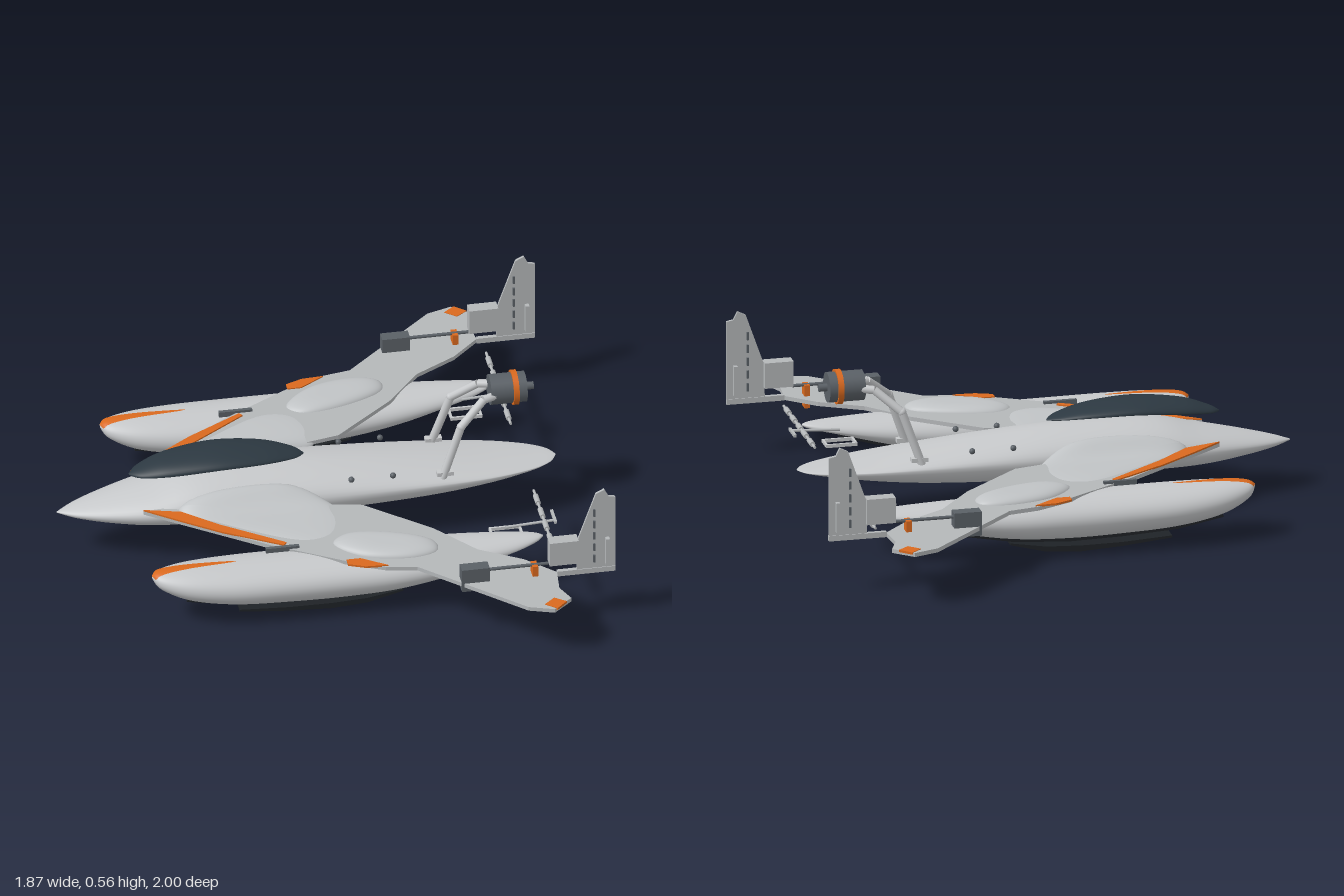
import * as THREE from 'three';

const mat = (name, color) => {
  const m = new THREE.MeshStandardMaterial({ color });
  m.name = name;
  return m;
};

// Grid of (rows + 1) x (cols + 1) points turned into a smooth surface
function gridSurface(pos, rows, cols, flip) {
  const idx = [], n = cols + 1;
  for (let i = 0; i < rows; i++) for (let j = 0; j < cols; j++) {
    const a = i * n + j, b = a + n;
    if (flip) idx.push(a, a + 1, b, b, a + 1, b + 1);
    else idx.push(a, b, a + 1, b, b + 1, a + 1);
  }
  const g = new THREE.BufferGeometry();
  g.setAttribute('position', new THREE.Float32BufferAttribute(pos, 3));
  g.setIndex(idx);
  g.computeVertexNormals();
  return g;
}

// Loft along x. Stations are [x, halfWidth, top, seam, bottom], smoothly interpolated.
// With `leaf` (half-width by u) only a strip along the top is made, lifted slightly.
function loft(stations, { z0 = 0, p = 1, rows = 48, cols = 40, t1 = 1, leaf = null } = {}) {
  const curves = [1, 2, 3, 4].map(k => new THREE.SplineCurve(stations.map(s => new THREE.Vector2(s[0], s[k]))));
  const pos = [], lift = leaf ? 0.003 : 0;
  for (let i = 0; i <= rows; i++) {
    const u = i / rows, t = u * t1;
    const [w, top, seam, bot] = curves.map(c => c.getPoint(t).y);
    const x = curves[0].getPoint(t).x;
    const half = leaf ? Math.asin(Math.min(0.95, leaf(u) / Math.max(w, 0.001))) : Math.PI;
    for (let j = 0; j <= cols; j++) {
      const a = Math.PI / 2 + half * (2 * j / cols - 1);
      const c = Math.cos(a), s = Math.sin(a);
      pos.push(x, seam + (s > 0 ? top - seam : seam - bot) * s + lift,
        z0 + w * Math.sign(c) * Math.pow(Math.abs(c), s > 0 ? p : 1));
    }
  }
  return gridSurface(pos, rows, cols, false);
}

// Domed blister on a smooth closed outline of [x, z]; height(f, z) gives y
function blister(outline, height) {
  const curve = new THREE.CatmullRomCurve3(outline.map(([x, z]) => new THREE.Vector3(x, 0, z)), true);
  const N = 48, R = 14, ring = curve.getPoints(N), pos = [];
  const c = ring.slice(0, N).reduce((a, v) => a.add(v), new THREE.Vector3()).divideScalar(N);
  for (let r = 0; r <= R; r++) for (let j = 0; j <= N; j++) {
    const k = Math.cos(r / R * Math.PI / 2), v = ring[j].clone().sub(c).multiplyScalar(k).add(c);
    pos.push(v.x, height(Math.sqrt(Math.max(0, 1 - k ** 4)), v.z), v.z);
  }
  return gridSurface(pos, R, N, true);
}

const shapeOf = pts => new THREE.Shape(pts.map(([x, y]) => new THREE.Vector2(x, y)));

// Flat plate from [x, z] corners, drooping gently outboard like the wing
function plate(pts, y, t) {
  const g = new THREE.ExtrudeGeometry(shapeOf(pts.map(([x, z]) => [x, -z])), { depth: t, bevelEnabled: false });
  g.rotateX(-Math.PI / 2);
  const q = g.attributes.position;
  for (let i = 0; i < q.count; i++) q.setY(i, q.getY(i) + y - 0.02 * (q.getZ(i) - 0.5));
  return g;
}

// Upright slab from [x, y] corners centred on z
const slab = (pts, z, t) =>
  new THREE.ExtrudeGeometry(shapeOf(pts), { depth: t, bevelEnabled: false }).translate(0, 0, z - t / 2);

const box = (x0, x1, y0, y1, z0, z1) =>
  new THREE.BoxGeometry(x1 - x0, y1 - y0, z1 - z0).translate((x0 + x1) / 2, (y0 + y1) / 2, (z0 + z1) / 2);

function rod(a, b, r, sides = 12) {
  const A = new THREE.Vector3(...a), B = new THREE.Vector3(...b), d = B.clone().sub(A);
  const g = new THREE.CylinderGeometry(r, r, d.length(), sides);
  g.applyQuaternion(new THREE.Quaternion().setFromUnitVectors(new THREE.Vector3(0, 1, 0), d.normalize()));
  return g.translate(...A.add(B).multiplyScalar(0.5).toArray());
}

// Mirror across z = 0, keeping faces outward
function mirrorZ(geo) {
  const g = geo.index ? geo.toNonIndexed() : geo.clone();
  g.scale(1, 1, -1);
  for (const at of Object.values(g.attributes)) {
    const s = at.itemSize, d = at.array;
    for (let i = 0; i < at.count; i += 3) for (let k = 0; k < s; k++) {
      const a = (i + 1) * s + k, b = (i + 2) * s + k;
      [d[a], d[b]] = [d[b], d[a]];
    }
  }
  return g;
}

export function createModel() {
  const model = new THREE.Group();
  const hull = mat('hull grey', 0xc6c8ca), wingGrey = mat('wing grey', 0xb4b7b9), fairingGrey = mat('fairing grey', 0xc0c3c5);
  const orange = mat('orange trim', 0xd9691e), glass = mat('canopy blue black', 0x2c3841);
  const black = mat('skid black', 0x1e2226), dark = mat('dark grey', 0x5a6066);
  const add = (name, geo, m) => {
    const mesh = new THREE.Mesh(geo, m);
    mesh.name = name;
    model.add(mesh);
  };
  const pair = (name, geo, m) => {
    add(name + 'Left', geo, m);
    add(name + 'Right', mirrorZ(geo), m);
  };

  // Central body and canopy
  add('fuselage', loft([
    [-0.94, 0.002, 0.172, 0.17, 0.168], [-0.87, 0.05, 0.193, 0.173, 0.152], [-0.75, 0.1, 0.222, 0.18, 0.133],
    [-0.6, 0.142, 0.255, 0.19, 0.117], [-0.42, 0.157, 0.294, 0.2, 0.111], [-0.1, 0.16, 0.295, 0.205, 0.11],
    [0.15, 0.16, 0.277, 0.208, 0.114], [0.4, 0.15, 0.25, 0.208, 0.128], [0.6, 0.128, 0.226, 0.205, 0.152],
    [0.75, 0.09, 0.211, 0.201, 0.178], [0.83, 0.048, 0.204, 0.199, 0.192], [0.86, 0.003, 0.2, 0.199, 0.198],
  ], { p: 1.15 }), hull);
  add('canopy', loft([
    [-0.68, 0.004, 0.302, 0.299, 0.296], [-0.64, 0.045, 0.323, 0.306, 0.3], [-0.54, 0.08, 0.354, 0.322, 0.31],
    [-0.37, 0.096, 0.371, 0.338, 0.327], [-0.2, 0.08, 0.358, 0.334, 0.325], [-0.09, 0.042, 0.332, 0.322, 0.316],
    [-0.05, 0.004, 0.316, 0.314, 0.312],
  ]), glass);

  // Wings with blended root and pod fairings
  pair('wing', plate([[-0.65, 0.13], [-0.25, 0.42], [0, 0.57], [0.13, 0.63], [0.24, 0.65], [0.58, 0.97], [0.67, 1],
    [0.74, 0.94], [0.71, 0.87], [0.72, 0.77], [0.62, 0.67], [0.47, 0.58], [0.34, 0.42], [0.12, 0.23], [-0.02, 0.2],
    [-0.1, 0.1]], 0.2, 0.015), wingGrey);
  pair('rootFairing', blister([[-0.53, 0.14], [-0.5, 0.2], [-0.3, 0.34], [-0.1, 0.43], [0, 0.4], [0.05, 0.28],
    [0, 0.17], [-0.12, 0.09], [-0.42, 0.09]],
  (f, z) => 0.208 + f * (0.016 + 0.068 * Math.exp(-(((z - 0.1) / 0.07) ** 2)))), fairingGrey);
  pair('podFairing', blister([[-0.03, 0.45], [0.06, 0.55], [0.24, 0.59], [0.33, 0.56], [0.33, 0.5], [0.18, 0.42], [0.02, 0.4]],
    f => 0.208 + 0.03 * f), fairingGrey);
  pair('leadingEdgeStripe', plate([[-0.65, 0.13], [-0.52, 0.165], [-0.4, 0.27], [-0.19, 0.42], [-0.2, 0.435],
    [-0.4, 0.317], [-0.53, 0.222]], 0.214, 0.006), orange);
  pair('podEdgeStripe', plate([[0, 0.565], [0.05, 0.565], [0.14, 0.625], [0.06, 0.62], [0, 0.595]], 0.212, 0.007), orange);
  pair('tipMarker', plate([[0.64, 0.965], [0.68, 0.93], [0.72, 0.96], [0.68, 0.998]], 0.209, 0.008), orange);
  pair('wingRail', box(-0.27, -0.15, 0.205, 0.225, 0.444, 0.458), dark);

  // Underwing pods with painted noses
  const pod = [[-0.69, 0.004, 0.188, 0.185, 0.18], [-0.66, 0.047, 0.203, 0.17, 0.14], [-0.56, 0.09, 0.212, 0.152, 0.093],
    [-0.4, 0.115, 0.213, 0.14, 0.064], [-0.2, 0.12, 0.212, 0.136, 0.053], [0, 0.12, 0.211, 0.135, 0.05],
    [0.2, 0.119, 0.21, 0.138, 0.063], [0.4, 0.1, 0.209, 0.152, 0.1], [0.6, 0.06, 0.205, 0.172, 0.155],
    [0.69, 0.028, 0.2, 0.186, 0.175], [0.72, 0.003, 0.194, 0.191, 0.188]];
  pair('pod', loft(pod, { z0: 0.5 }), hull);
  pair('podNoseMarking', loft(pod, { z0: 0.5, t1: 0.31, cols: 8, rows: 24,
    leaf: u => 0.029 * Math.sqrt(Math.max(0, 1 - u)) * (1 - u * u * 0.3) }), orange);

  // Skids under the pods
  pair('podKeel', slab([[-0.57, 0.085], [-0.4, 0.053], [-0.2, 0.042], [0, 0.038], [0.2, 0.053], [0.4, 0.09], [0.59, 0.145],
    [0.59, 0.165], [0.4, 0.12], [0.2, 0.085], [0, 0.07], [-0.4, 0.085], [-0.56, 0.11]], 0.5, 0.062), black);
  pair('skid', slab([[-0.38, 0.025], [-0.2, 0.008], [-0.05, 0], [0.08, 0.009], [0.21, 0.043], [0.21, 0.05],
    [0.08, 0.028], [-0.05, 0.022], [-0.2, 0.023], [-0.38, 0.033]], 0.5, 0.075), black);

  // Engine on bent struts
  const strut = [[0.43, 0.22, 0.115], [0.5, 0.42, 0.1], [0.59, 0.495, 0.055], [0.65, 0.5, 0.035]];
  for (let i = 0; i < 3; i++) pair('engineStrut' + i, rod(strut[i], strut[i + 1], 0.015), hull);
  pair('strutKnee', new THREE.SphereGeometry(0.016, 12, 8).translate(...strut[1]), hull);
  pair('strutFoot', box(0.41, 0.47, 0.235, 0.25, 0.1, 0.125), hull);
  add('engine', rod([0.62, 0.5, 0], [0.75, 0.5, 0], 0.055, 28), dark);
  add('engineRing', rod([0.7, 0.5, 0], [0.72, 0.5, 0], 0.063, 28), orange);
  add('engineHub', rod([0.74, 0.5, 0], [0.78, 0.5, 0], 0.014), dark);
  for (const x of [0.1, 0.25]) pair('deckStud', new THREE.SphereGeometry(0.011, 12, 8).translate(x, 0.262, 0.125), dark);

  // Tail fins with housing, boom and fittings
  pair('fin', slab([[0.79, 0.2], [0.93, 0.2], [0.93, 0.505], [0.905, 0.51], [0.89, 0.54], [0.86, 0.525], [0.795, 0.34]],
    0.77, 0.01), wingGrey);
  pair('finHousing', box(0.69, 0.795, 0.25, 0.345, 0.745, 0.792), wingGrey);
  pair('finFoot', box(0.72, 0.93, 0.195, 0.215, 0.762, 0.778), wingGrey);
  pair('finActuator', box(0.893, 0.907, 0.23, 0.34, 0.747, 0.793), wingGrey);
  for (let i = 0; i < 5; i++)
    pair('finSlot', box(0.85, 0.857, 0.24 + i * 0.048, 0.27 + i * 0.048, 0.76, 0.78), dark);
  pair('boomWeight', box(0.375, 0.475, 0.175, 0.265, 0.74, 0.785), dark);
  pair('boom', rod([0.47, 0.247, 0.765], [0.69, 0.247, 0.765], 0.006), dark);
  pair('boomClamp', box(0.63, 0.65, 0.165, 0.25, 0.745, 0.785), orange);

  // Trailing linkage: segmented rod, open bracket and arm
  pair('linkRod', rod([0.74, 0.2, 0.22], [0.74, 0.2, 0.69], 0.005), wingGrey);
  for (const z of [0.28, 0.37, 0.45, 0.54, 0.63])
    pair('linkSleeve', rod([0.74, 0.2, z - 0.025], [0.74, 0.2, z + 0.025], 0.01), wingGrey);
  for (const z of [0.365, 0.425]) pair('bracketRail', box(0.55, 0.665, 0.145, 0.157, z - 0.004, z + 0.004), hull);
  for (const x of [0.554, 0.661]) pair('bracketEnd', box(x - 0.004, x + 0.004, 0.145, 0.157, 0.365, 0.425), hull);
  pair('linkArm', rod([0.6, 0.19, 0.422], [0.78, 0.2, 0.422], 0.005), wingGrey);
  pair('linkCrossbar', box(0.773, 0.783, 0.195, 0.205, 0.36, 0.44), wingGrey);

  return model;
}
